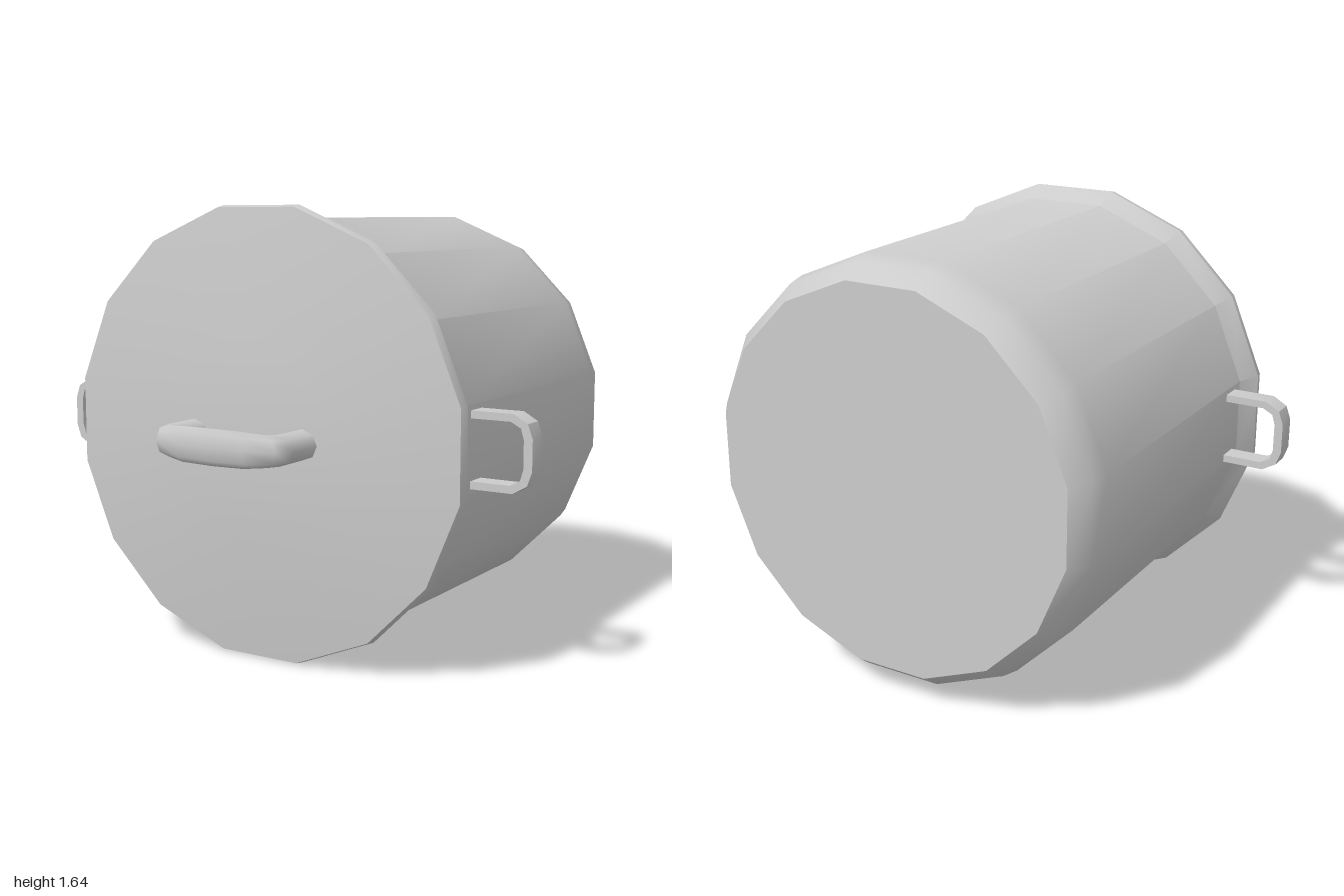
import * as THREE from 'three';
import { toCreasedNormals } from 'three/addons/utils/BufferGeometryUtils.js';

const SIDES = 16;
const CENTRE_Y = 0.822;
const FLAT = Math.cos(Math.PI / SIDES); // flat-to-corner ratio of the 16-sided shell

const material = new THREE.MeshStandardMaterial({ color: 0xcccccc });

function addMesh(parent, name, geometry) {
  const mesh = new THREE.Mesh(geometry, material);
  mesh.name = name;
  parent.add(mesh);
  return mesh;
}

// 16-sided lathe along z, profile given as [distance to flat side, z] from back to front
function shell(profile) {
  const points = profile.map(([r, z]) => new THREE.Vector2(r / FLAT, z));
  const geometry = new THREE.LatheGeometry(points, SIDES, Math.PI / SIDES);
  geometry.rotateX(Math.PI / 2);
  return toCreasedNormals(geometry, 0.7);
}

// Lofted grip: stations of [outer x, outer z, inner x, inner z, half height]
function lidHandleGeometry() {
  const half = [
    [0.295, 0.57, 0.172, 0.57, 0.055],
    [0.295, 0.745, 0.172, 0.74, 0.055],
    [0.255, 0.797, 0.158, 0.764, 0.056],
    [0.14, 0.826, 0.12, 0.781, 0.063],
    [0, 0.831, 0, 0.783, 0.065],
  ];
  const mirrored = half.map(([ox, oz, ix, iz, h]) => [-ox, oz, -ix, iz, h]);
  const stations = [...mirrored, ...half.slice(0, -1).reverse()];
  const N = 8;
  const positions = [];
  const index = [];
  stations.forEach(([ox, oz, ix, iz, h], i) => {
    for (let j = 0; j < N; j++) {
      const t = (j / N) * Math.PI * 2;
      const k = 0.5 + 0.5 * Math.cos(t);
      positions.push(ix + (ox - ix) * k, h * Math.sin(t), iz + (oz - iz) * k);
      if (i === stations.length - 1) continue;
      const a = i * N + j;
      const b = i * N + ((j + 1) % N);
      index.push(a, a + N, b, b, a + N, b + N);
    }
  });
  const geometry = new THREE.BufferGeometry();
  geometry.setAttribute('position', new THREE.Float32BufferAttribute(positions, 3));
  geometry.setIndex(index);
  geometry.computeVertexNormals();
  return geometry;
}

// Flat bracket outline, extruded along z
function sideHandleGeometry() {
  const outer = [[0.75, -0.135], [0.93, -0.135], [0.982, -0.105], [1, -0.055]];
  const inner = [[0.75, -0.108], [0.92, -0.108], [0.957, -0.088], [0.968, -0.05]];
  const flip = (list) => list.map(([x, y]) => [x, -y]).reverse();
  const outline = [...outer, ...flip(outer), ...inner, ...flip(inner)];
  // Out along the outer edge, back along the inner edge
  const loop = [...outline.slice(0, 8), ...outline.slice(8).reverse()];
  const shape = new THREE.Shape(loop.map(([x, y]) => new THREE.Vector2(x, y)));
  const geometry = new THREE.ExtrudeGeometry(shape, { depth: 0.08, bevelEnabled: false });
  geometry.translate(0, 0, 0.305);
  return toCreasedNormals(geometry, 0.7);
}

export function createModel() {
  const pot = new THREE.Group();
  pot.name = 'cookingPot';

  // Body with rounded base and flared rim, lying on its side
  const body = addMesh(pot, 'body', shell([
    [0, -0.83], [0.705, -0.83], [0.757, -0.763], [0.773, -0.685],
    [0.773, 0.433], [0.82, 0.502],
  ]));

  // Shallow lid closing the rim
  const lid = addMesh(pot, 'lid', shell([
    [0.82, 0.502], [0.813, 0.538], [0.325, 0.602], [0, 0.602],
  ]));

  const lidHandle = addMesh(pot, 'lidHandle', lidHandleGeometry());

  // Side handles
  const left = addMesh(pot, 'leftHandle', sideHandleGeometry());
  const right = addMesh(pot, 'rightHandle', sideHandleGeometry().rotateZ(Math.PI));

  for (const part of [body, lid, lidHandle, left, right]) part.position.y = CENTRE_Y;
  return pot;
}
